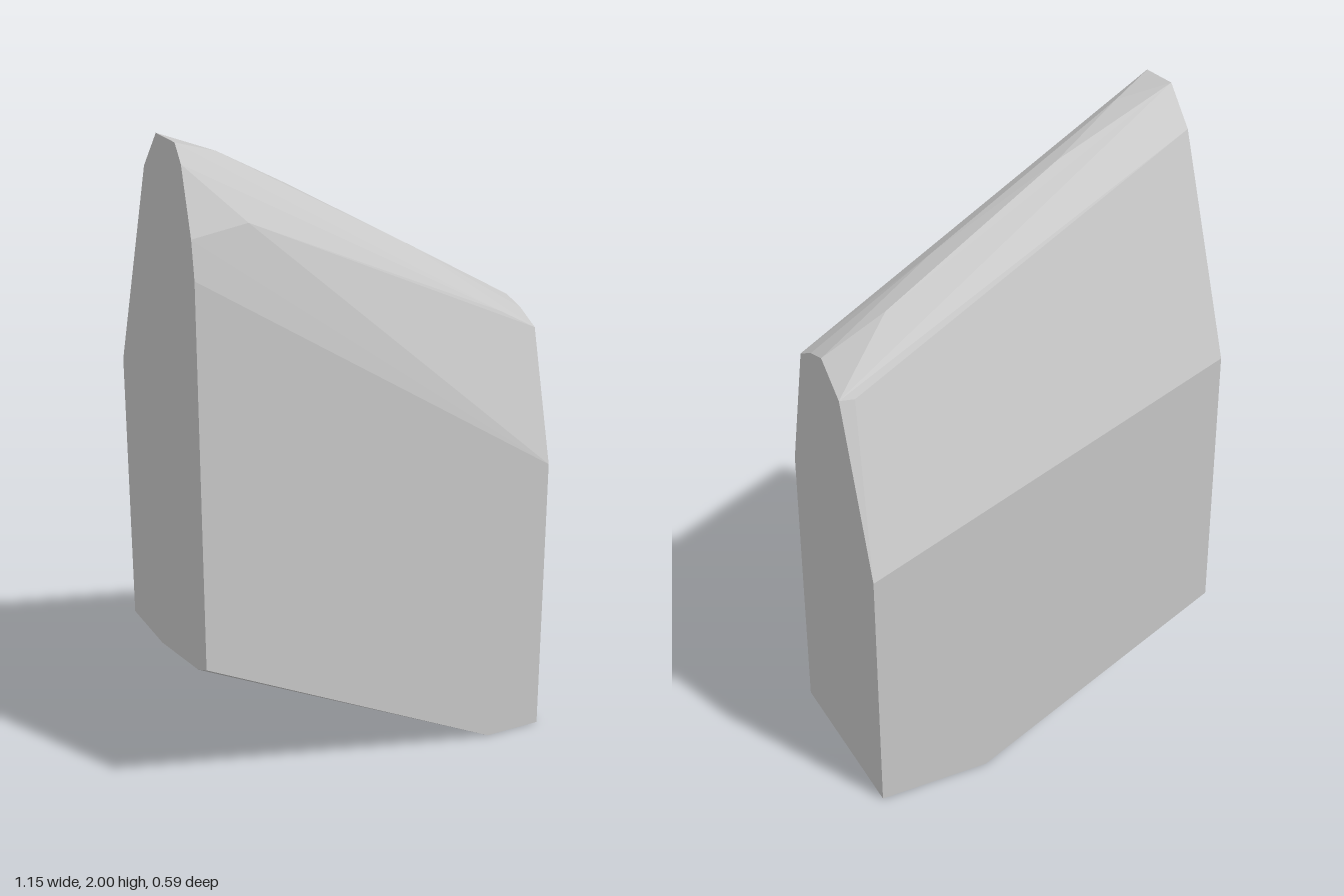
import * as THREE from 'three';
import { ConvexGeometry } from 'three/addons/geometries/ConvexGeometry.js';

const HALF_X = 0.575;

// Places a [z, y] outline on the plane at x
const section = (x, outline) => outline.map(([z, y]) => new THREE.Vector3(x, y, z));

export function createModel() {
  const stone = new THREE.MeshStandardMaterial({ color: 0xc8c8c8 });
  stone.name = 'stone grey';

  // Tall end, with its raised lower edge
  const tallEnd = section(-HALF_X, [
    [0.295, 0.48], [0.295, 1.65], [0.28, 1.76], [0.225, 1.95], [0.185, 2.0],
    [0.05, 2.0], [-0.05, 1.89], [-0.295, 1.25], [-0.295, 0.4], [-0.06, 0.4], [0.23, 0.45],
  ]);

  // Short end, standing on the ground
  const shortEnd = section(HALF_X, [
    [0.295, 0], [0.295, 0.91], [0.185, 1.32], [0.1, 1.36],
    [0.02, 1.38], [-0.1, 1.3], [-0.295, 0.8], [-0.295, 0],
  ]);

  // Chipped facets along the sloping ridge
  const ridge = [
    [-0.43, 1.95, 0.12], [-0.4, 1.78, 0.26], [-0.28, 1.755, -0.045], [-0.2, 1.825, 0.055],
    [0.2, 1.597, 0.085], [0.38, 1.493, 0], [0.45, 1.39, 0.19], [0.53, 1.3, -0.11],
  ].map((p) => new THREE.Vector3(...p));

  // Slanted underside, meeting the ground along a skewed edge
  const underside = [
    [0.39, 0, 0.295], [0.22, 0, -0.295], [0.22, 0, -0.08], [-0.42, 0.31, -0.06],
  ].map((p) => new THREE.Vector3(...p));

  const block = new THREE.Mesh(
    new ConvexGeometry([...tallEnd, ...shortEnd, ...ridge, ...underside]), stone);
  block.name = 'wedgeBlock';

  const model = new THREE.Group();
  model.name = 'stoneWedge';
  model.add(block);
  return model;
}
